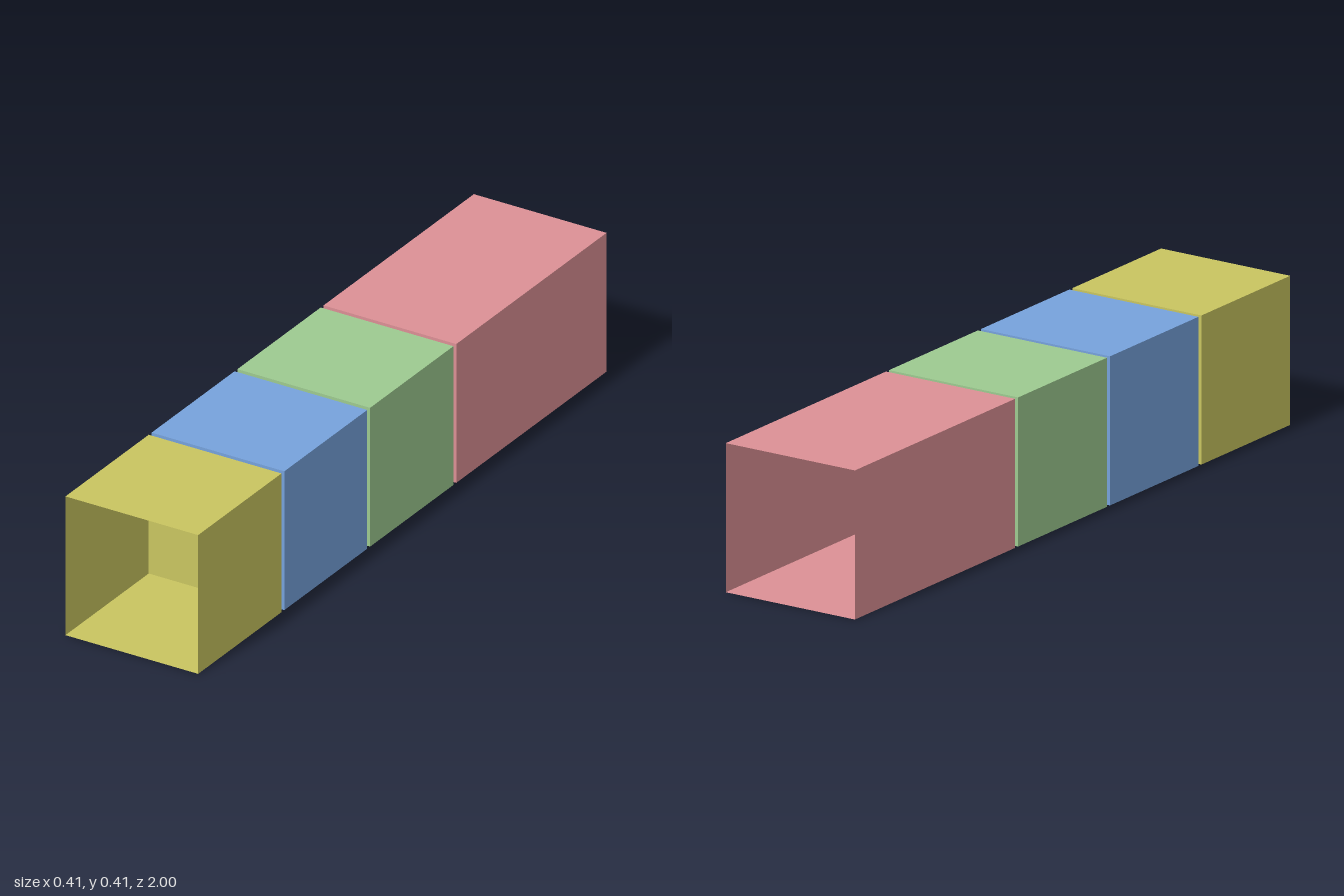
import * as THREE from 'three';
import { mergeGeometries } from 'three/addons/utils/BufferGeometryUtils.js';

const SIZE = 0.408; // width and height of every compartment
const HALF = SIZE / 2;
const FLOOR = 0.001;

const sheet = (color) => new THREE.MeshStandardMaterial({ color, side: THREE.DoubleSide, flatShading: true });

// Square sleeve of four thin sheets, open at both ends
function sleeveGeometry(length) {
  const sides = [];
  for (let i = 0; i < 4; i++) {
    const side = new THREE.PlaneGeometry(SIZE, length);
    side.rotateX(-Math.PI / 2).translate(0, HALF, 0).rotateZ(i * Math.PI / 2);
    sides.push(side);
  }
  return mergeGeometries(sides).translate(0, HALF + FLOOR, 0);
}

// Thin end wall pierced by a small square opening
function endWallGeometry() {
  const wall = new THREE.Shape([
    new THREE.Vector2(-HALF, FLOOR), new THREE.Vector2(HALF, FLOOR),
    new THREE.Vector2(HALF, SIZE + FLOOR), new THREE.Vector2(-HALF, SIZE + FLOOR),
  ]);
  wall.holes.push(new THREE.Path([
    new THREE.Vector2(-0.012, 0.061), new THREE.Vector2(-0.012, 0.086),
    new THREE.Vector2(0.012, 0.086), new THREE.Vector2(0.012, 0.061),
  ]));
  return new THREE.ShapeGeometry(wall);
}

function compartment(name, color, front, back, hasFront, hasBack) {
  const group = new THREE.Group();
  group.name = name;
  const material = sheet(color);

  const sleeve = new THREE.Mesh(sleeveGeometry(front - back), material);
  sleeve.name = 'sleeve';
  sleeve.position.z = (front + back) / 2;
  group.add(sleeve);

  const ends = [['frontWall', front, hasFront], ['backWall', back, hasBack]];
  for (const [wallName, z, present] of ends) {
    if (!present) continue;
    const wall = new THREE.Mesh(endWallGeometry(), material);
    wall.name = wallName;
    wall.position.z = z;
    group.add(wall);
  }
  return group;
}

// Small five-sided block standing on the floor of the long compartment
function floorBlock() {
  const footprint = [[-0.029, -0.387], [-0.098, -0.464], [-0.152, -0.42], [-0.14, -0.355], [-0.106, -0.328]];
  const shape = new THREE.Shape(footprint.map(([x, z]) => new THREE.Vector2(x, -z)));
  const geometry = new THREE.ExtrudeGeometry(shape, { depth: 0.1, bevelEnabled: false });
  geometry.rotateX(-Math.PI / 2);
  const block = new THREE.Mesh(geometry, new THREE.MeshStandardMaterial({ color: 0xcccccc, flatShading: true }));
  block.name = 'floorBlock';
  return block;
}

export function createModel() {
  const model = new THREE.Group();
  model.name = 'compartmentRow';
  model.add(
    compartment('yellowCompartment', 0xc9c560, 1, 0.592, false, true),
    compartment('blueCompartment', 0x76a2dc, 0.578, 0.172, true, true),
    compartment('greenCompartment', 0x9dca90, 0.158, -0.25, true, true),
    compartment('redCompartment', 0xdc9095, -0.264, -1, true, false),
    floorBlock(),
  );
  return model;
}
